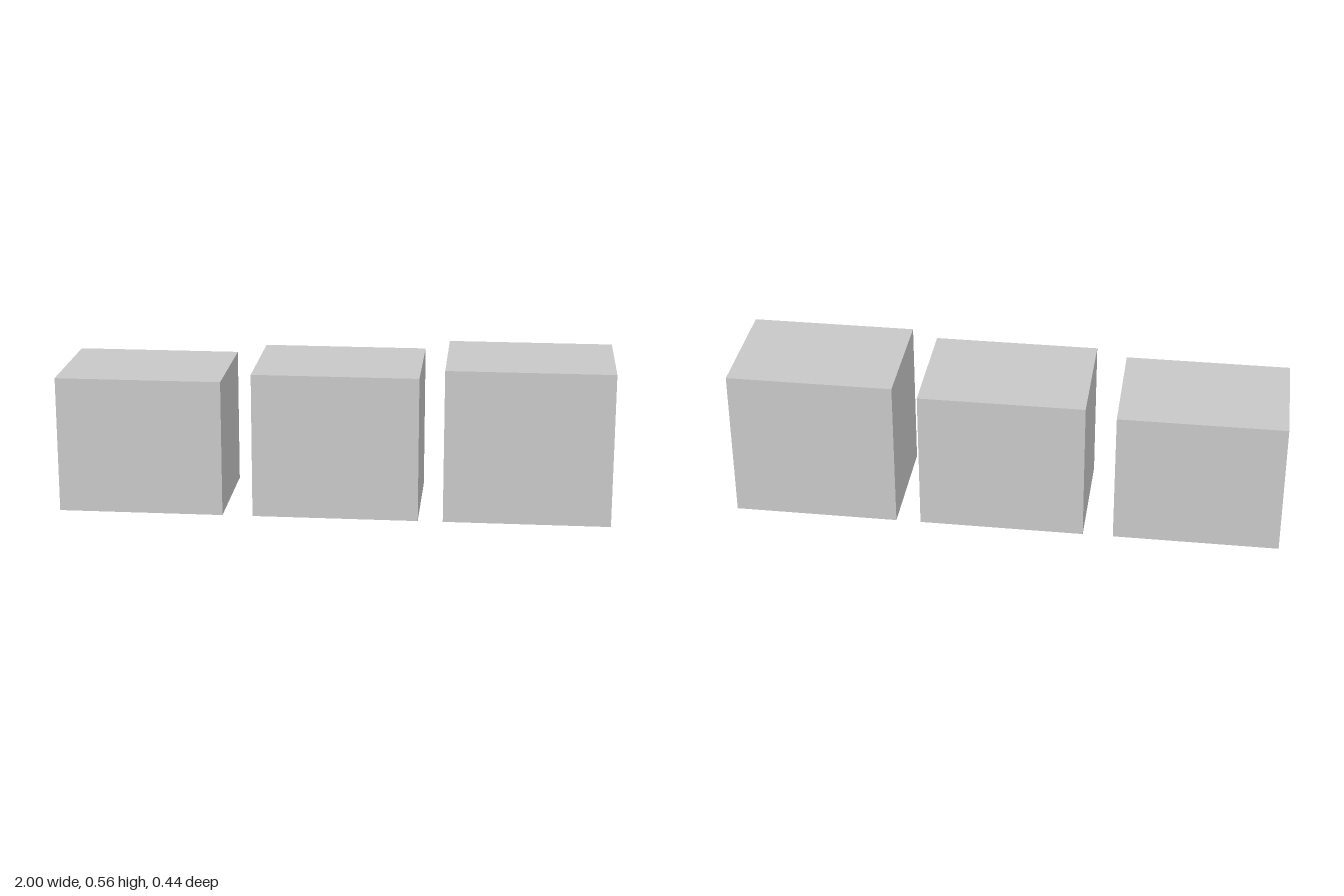
import * as THREE from 'three';

export function createModel() {
  const group = new THREE.Group();
  const material = new THREE.MeshStandardMaterial({ color: 0xcccccc, flatShading: true });
  const width = 0.6, depth = 0.442;

  // Three blocks in a row, each a little taller than the last
  const blocks = [
    { name: 'rightBlock', x: -0.7, height: 0.5 },
    { name: 'middleBlock', x: 0.01, height: 0.53 },
    { name: 'leftBlock', x: 0.7, height: 0.561 },
  ];
  for (const { name, x, height } of blocks) {
    const block = new THREE.Mesh(new THREE.BoxGeometry(width, height, depth), material);
    block.name = name;
    block.position.set(x, height / 2, 0);
    group.add(block);
  }
  return group;
}
